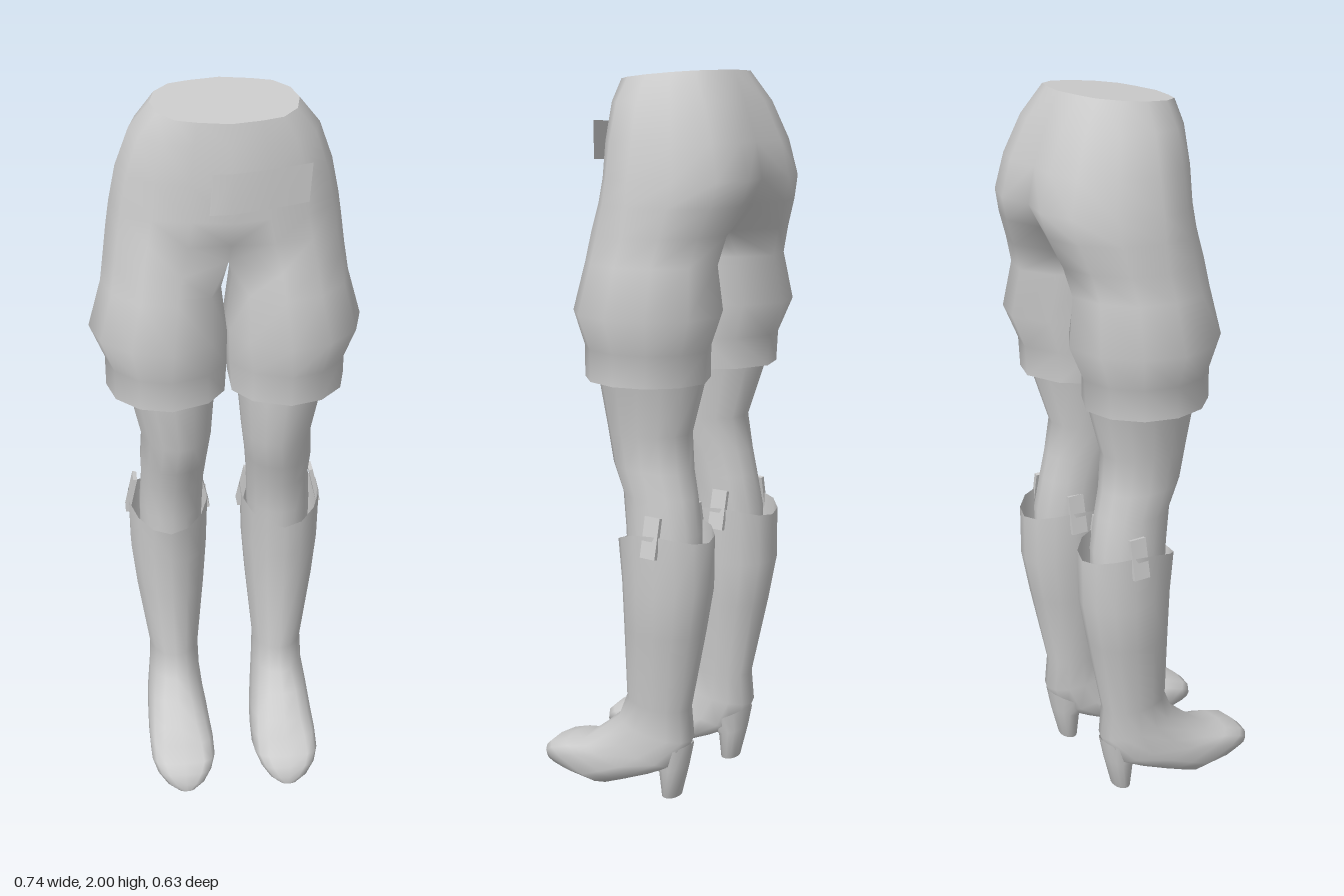
import * as THREE from 'three';
import { mergeGeometries, mergeVertices } from 'three/addons/utils/BufferGeometryUtils.js';

const mat = new THREE.MeshStandardMaterial({ color: 0xcccccc, side: THREE.DoubleSide });

// Skin closed rings (ordered top to bottom) into a surface; keep() can drop quads
function loft(rings, keep = () => true) {
  const n = rings[0].length, index = [];
  for (let i = 0; i < rings.length - 1; i++) {
    for (let j = 0; j < n; j++) {
      if (!keep(i, j)) continue;
      const k = (j + 1) % n;
      const a = i * n + j, b = i * n + k, c = a + n, d = b + n;
      index.push(a, c, b, b, c, d);
    }
  }
  return build(rings.flat(2), index);
}

function build(positions, index) {
  const g = new THREE.BufferGeometry();
  g.setAttribute('position', new THREE.Float32BufferAttribute(positions, 3));
  g.setIndex(index);
  g.computeVertexNormals();
  return g;
}

// Copy of a geometry reflected in x, with the winding turned round
function mirrored(g) {
  const m = g.clone().scale(-1, 1, 1), idx = m.index.array;
  for (let i = 0; i < idx.length; i += 3) [idx[i], idx[i + 1]] = [idx[i + 1], idx[i]];
  m.computeVertexNormals();
  return m;
}

// Join a half with its reflection and smooth across the centre seam
function symmetric(half) {
  const g = mergeGeometries([half, mirrored(half)]);
  g.deleteAttribute('normal');
  const out = mergeVertices(g, 1e-4);
  out.computeVertexNormals();
  return out;
}

// Half section of the shorts: centre front, round the outside, centre back, inner thigh
const ARC = 6;
function shortsRing([y, px, xo, zw, zf, zb, s, zsf, zsb, xi = 0], tilt = 0) {
  const pts = [[s, zsf]];
  for (let j = 0; j <= ARC; j++) {
    const a = (j / ARC) * Math.PI, c = Math.cos(a);
    pts.push([px + (xo - px) * Math.sin(a), zw + c * (c > 0 ? zf - zw : zw - zb)]);
  }
  pts.push([s, zsb]);
  for (const t of [0.25, 0.5, 0.75]) pts.push([xi, zsb + (zsf - zsb) * t]);
  return pts.map(([x, z]) => [x, y - tilt * z, z]);
}

// Tilted limb section between a back point and a front point; p < 1 is squarer
function limbRing([zb, yb, zf, yf, xi, xo, p = 1, lift = 0]) {
  const pts = [], n = 14;
  const pow = v => Math.sign(v) * Math.abs(v) ** p;
  for (let j = 0; j < n; j++) {
    const a = (j / n) * Math.PI * 2;
    const w = pow(Math.sin(a)), t = (pow(Math.cos(a)) + 1) / 2;
    pts.push([(xi + xo) / 2 + w * (xo - xi) / 2, yb + (yf - yb) * t + lift * w * w, zb + (zf - zb) * t]);
  }
  return pts;
}

export function createModel() {
  const model = new THREE.Group();
  const add = (name, geometry) => {
    const mesh = new THREE.Mesh(geometry, mat);
    mesh.name = name;
    model.add(mesh);
  };
  const addPair = (name, geometry) => {
    add('left' + name, geometry);
    add('right' + name, mirrored(geometry));
  };

  // Shorts: y, peak x, outer x, widest z, front z, back z, seam x, seam front z, seam back z, inner x
  const crotch = 5;
  const shorts = [
    [1.983, 0.08, 0.19, -0.06, 0.075, -0.19, 0, 0.09, -0.205],
    [1.92, 0.09, 0.245, -0.07, 0.085, -0.245, 0, 0.10, -0.24],
    [1.82, 0.10, 0.282, -0.08, 0.092, -0.29, 0, 0.112, -0.275],
    [1.725, 0.10, 0.302, -0.08, 0.095, -0.317, 0, 0.113, -0.295],
    [1.66, 0.11, 0.312, -0.08, 0.103, -0.30, 0, 0.10, -0.26],
    [1.585, 0.13, 0.322, -0.075, 0.118, -0.27, 0, 0.03, -0.19, 0],
    [1.51, 0.14, 0.333, -0.06, 0.13, -0.25, 0.05, 0.085, -0.19, 0.018],
    [1.38, 0.155, 0.37, -0.055, 0.155, -0.27, 0.05, 0.10, -0.21, 0.003],
    [1.285, 0.16, 0.33, -0.05, 0.127, -0.23, 0.06, 0.09, -0.18, 0.005],
    [1.2, 0.16, 0.33, -0.05, 0.127, -0.225, 0.06, 0.09, -0.18, 0.01],
  ].map((r, i) => shortsRing(r, i === 0 ? 0.085 : 0));
  add('shorts', symmetric(loft(shorts, (i, j) => i >= crotch || j < ARC + 2)));

  // Flat cut across the waist
  const rim = shorts[0].slice(0, ARC + 3), fan = [];
  for (let j = 1; j < rim.length - 1; j++) fan.push(0, j, j + 1);
  add('waistCap', symmetric(build(rim.flat(), fan)));

  // Curved patch on the front
  const patch = [], patchIndex = [];
  [[-0.054, 0.127], [0, 0.134], [0.1, 0.121], [0.2, 0.098]].forEach(([x, z], i) => {
    const rise = (x + 0.054) * 0.06;
    patch.push(x + 0.004, 1.862 + rise * 0.7, z, x - 0.004, 1.757 + rise, z + 0.005);
    if (i < 3) patchIndex.push(2 * i, 2 * i + 1, 2 * i + 2, 2 * i + 2, 2 * i + 1, 2 * i + 3);
  });
  add('frontPatch', build(patch, patchIndex));

  // Legs: back z, back y, front z, front y, inner x, outer x
  addPair('Leg', loft([
    [-0.22, 1.32, 0.11, 1.32, 0.02, 0.30],
    [-0.205, 1.2, 0.105, 1.2, 0.03, 0.274],
    [-0.16, 1.05, 0.086, 1.05, 0.043, 0.24],
    [-0.172, 0.95, 0.062, 0.96, 0.055, 0.245],
    [-0.187, 0.88, 0.028, 0.88, 0.062, 0.243],
    [-0.205, 0.78, 0.015, 0.78, 0.066, 0.25],
    [-0.205, 0.68, 0.01, 0.68, 0.07, 0.25],
  ].map(limbRing)));

  // Boots: shaft, ankle, then sections swinging forward to the toe
  addPair('Boot', loft([
    [-0.245, 0.77, 0.032, 0.74, 0.048, 0.282, 1, 0.04],
    [-0.245, 0.63, 0.02, 0.63, 0.053, 0.28],
    [-0.222, 0.5, 0.018, 0.5, 0.063, 0.266],
    [-0.177, 0.27, 0.02, 0.285, 0.085, 0.233],
    [-0.187, 0.18, 0.05, 0.215, 0.083, 0.236],
    [-0.15, 0.10, 0.1, 0.17, 0.076, 0.245, 0.85],
    [-0.08, 0.065, 0.165, 0.118, 0.066, 0.25, 0.75],
    [0.0, 0.03, 0.225, 0.103, 0.06, 0.252, 0.65],
    [0.07, 0, 0.28, 0.083, 0.06, 0.25, 0.6],
    [0.17, 0, 0.303, 0.06, 0.075, 0.235, 0.65],
    [0.25, 0, 0.314, 0.03, 0.1, 0.207, 0.8],
    [0.29, 0, 0.312, 0.004, 0.13, 0.175],
  ].map(limbRing)));

  // Tapered heels, closed at the bottom
  addPair('Heel', loft([
    [-0.184, 0.17, -0.04, 0.09, 0.095, 0.215],
    [-0.17, 0.1, -0.085, 0.07, 0.108, 0.203],
    [-0.145, 0, -0.095, 0, 0.118, 0.192],
    [-0.121, 0, -0.12, 0, 0.154, 0.156],
  ].map(limbRing)));

  // Pull tabs on both sides of each boot top
  for (const [name, x, lean] of [['OuterTab', 0.271, 0.22], ['InnerTab', 0.059, -0.22]]) {
    const tab = new THREE.BoxGeometry(0.012, 0.112, 0.048);
    tab.rotateZ(lean).translate(x, 0.79, -0.13);
    addPair(name, tab);
  }
  return model;
}
